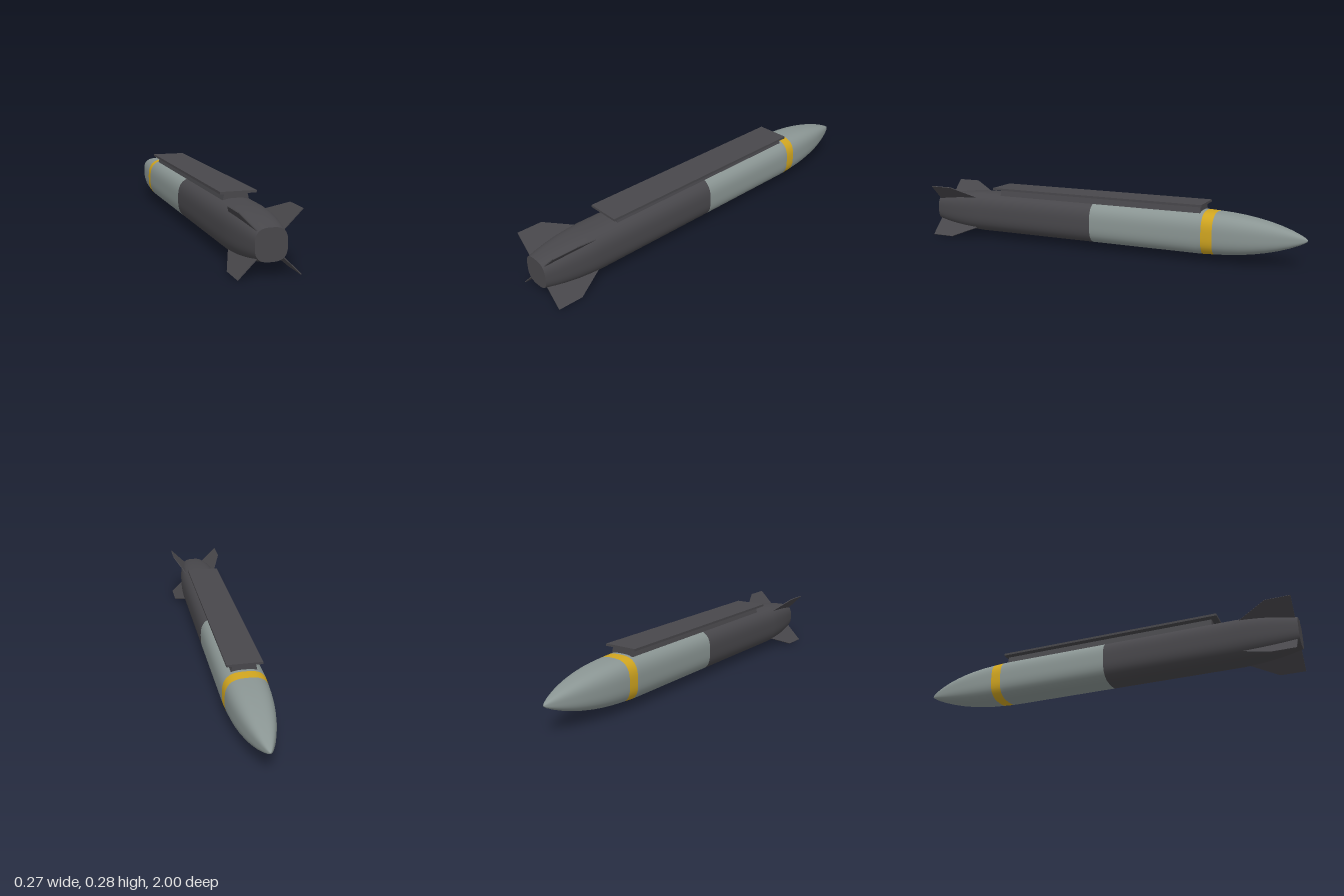
import * as THREE from 'three';

const CY = 0.136; // height of the body axis
const SIDES = 48;

// Point on a rounded-square section of half width r
function sectionPoint(j, r) {
  const a = (j / SIDES) * Math.PI * 2, c = Math.cos(a), s = Math.sin(a), n = 2.9;
  const k = r / Math.pow(Math.abs(c) ** n + Math.abs(s) ** n, 1 / n);
  return [c * k, s * k];
}

// Skin through [z, halfWidth, materialIndex] stations, running from tail to nose
function loft(stations) {
  const pos = [], index = [], geo = new THREE.BufferGeometry();
  stations.forEach(([z, r, mat], i) => {
    for (let j = 0; j < SIDES; j++) {
      const [x, y] = sectionPoint(j, r);
      pos.push(x, y, z);
    }
    if (i === stations.length - 1) return;
    geo.addGroup(index.length, SIDES * 6, mat);
    for (let j = 0; j < SIDES; j++) {
      const a = i * SIDES + j, b = i * SIDES + (j + 1) % SIDES;
      const c = a + SIDES, d = b + SIDES;
      index.push(a, c, b, b, c, d);
    }
  });
  geo.setAttribute('position', new THREE.Float32BufferAttribute(pos, 3));
  geo.setIndex(index);
  geo.computeVertexNormals();
  return geo;
}

export function createModel() {
  const model = new THREE.Group();
  const material = (name, color) => {
    const m = new THREE.MeshStandardMaterial({ color });
    m.name = name;
    return m;
  };
  const dark = material('dark grey', 0x48474b);
  const grey = material('light grey', 0x8a9593);
  const yellow = material('yellow', 0xd0a520);

  const add = (name, geo, mat, parent = model) => {
    const mesh = new THREE.Mesh(geo, mat);
    mesh.name = name;
    parent.add(mesh);
    return mesh;
  };

  // Body: dark tail section, grey forward section, yellow band, grey nose
  const stations = [
    [1, 0.069, 0], [0.95, 0.08, 0], [0.9, 0.089, 0], [0.84, 0.097, 0], [0.78, 0.102, 0],
    [0.72, 0.105, 0], [0.056, 0.105, 1], [-0.5, 0.105, 1], [-0.523, 0.1045, 2],
    [-0.577, 0.102, 1], [-0.64, 0.098, 1], [-0.7, 0.092, 1], [-0.76, 0.083, 1],
    [-0.82, 0.071, 1], [-0.87, 0.058, 1], [-0.92, 0.042, 1], [-0.96, 0.026, 1],
    [-0.985, 0.014, 1], [-0.997, 0.006, 1], [-1, 0.0005, 1],
  ];
  add('body', loft(stations), [dark, grey, yellow]).position.y = CY;

  // Flat tail end
  const outline = [];
  for (let j = 0; j < SIDES; j++) outline.push(new THREE.Vector2(...sectionPoint(j, 0.069)));
  add('tailCap', new THREE.ShapeGeometry(new THREE.Shape(outline)), dark).position.set(0, CY, 1);

  // Four diagonal tail fins, drawn as (radius, z) outlines
  const fin = new THREE.Shape([[0.06, 0.73], [0.112, 0.73], [0.189, 0.87], [0.189, 0.99], [0.06, 0.99]]
    .map(([r, z]) => new THREE.Vector2(r, z)));
  const finGeo = new THREE.ExtrudeGeometry(fin, { depth: 0.004, bevelEnabled: false });
  finGeo.translate(0, 0, -0.002);
  finGeo.rotateX(Math.PI / 2);
  for (let i = 0; i < 4; i++) {
    const mesh = add('tailFin' + (i + 1), finGeo, dark);
    mesh.position.y = CY;
    mesh.rotation.z = Math.PI / 4 + i * Math.PI / 2;
  }

  // Mounting rail on top: sloped pedestal under a long flat plate
  const rail = new THREE.Group();
  rail.name = 'mountingRail';
  model.add(rail);
  const pedestal = new THREE.Shape([[-0.062, 0.225], [0.062, 0.225], [0.052, 0.267], [-0.052, 0.267]]
    .map(([x, y]) => new THREE.Vector2(x, y)));
  const pedestalGeo = new THREE.ExtrudeGeometry(pedestal, { depth: 1.106, bevelEnabled: false });
  add('railPedestal', pedestalGeo, dark, rail).position.z = -0.506;
  add('railPlate', new THREE.BoxGeometry(0.166, 0.011, 1.15), dark, rail).position.set(0, 0.2715, 0.057);

  return model;
}
